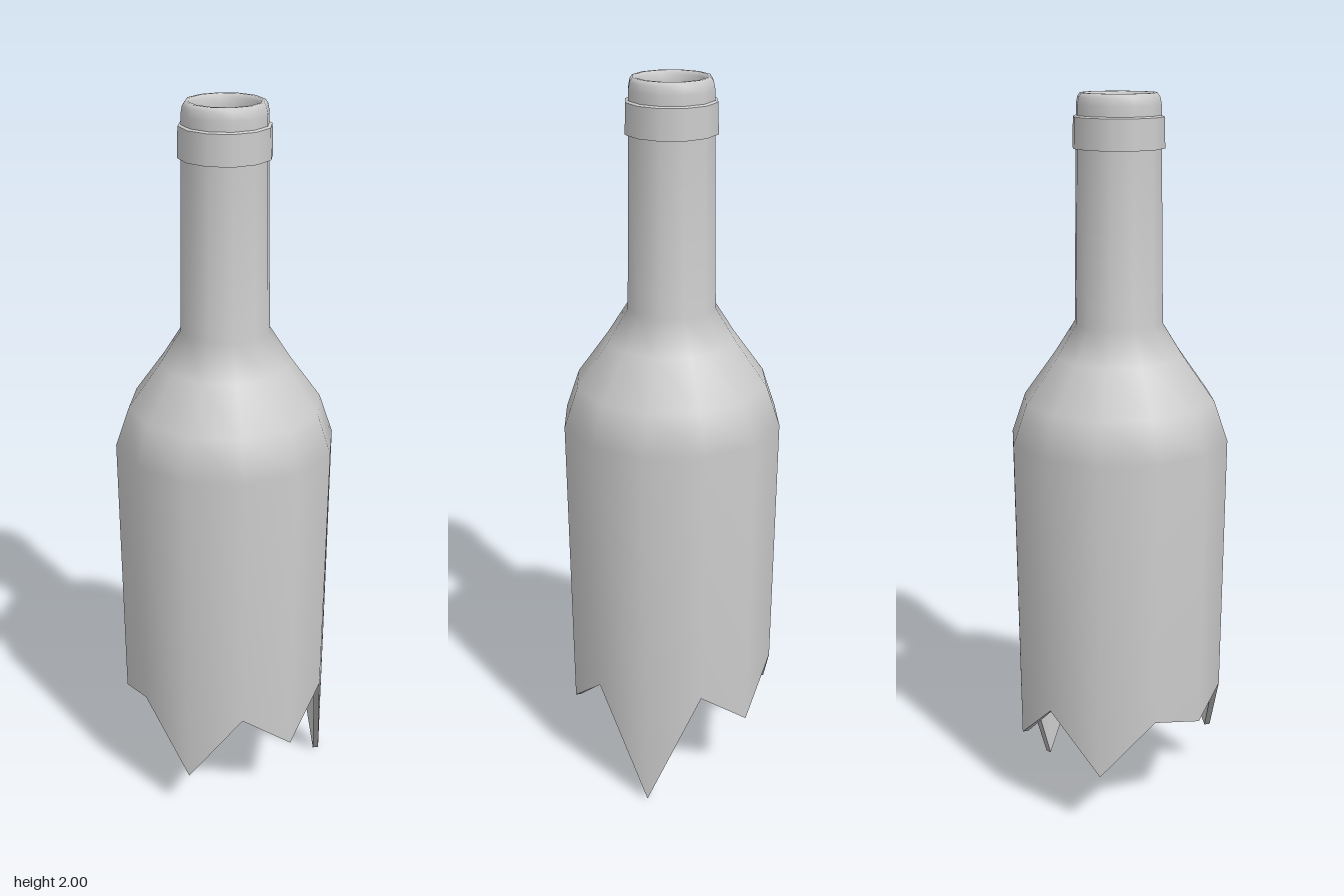
import * as THREE from 'three';

const SIDES = 12;
// Height of the broken edge at each corner, going round from the front
const BREAK = [0.34, 0, 0.34, 0.22, 0.35, 0.18, 0.34, 0.3, 0.35, 0.14, 0.34, 0.22];

export function createModel() {
  const group = new THREE.Group();
  const material = new THREE.MeshStandardMaterial({ color: 0xcccccc });

  // Turned part; points listed in 'jagged' follow the broken edge
  const turn = (name, profile, jagged = []) => {
    const points = profile.map(([r, y]) => new THREE.Vector2(r, y));
    const geometry = new THREE.LatheGeometry(points, SIDES, Math.PI / SIDES);
    const position = geometry.attributes.position;
    for (let i = 0; i <= SIDES; i++) {
      for (const j of jagged) position.setY(i * points.length + j, BREAK[i % SIDES]);
    }
    const mesh = new THREE.Mesh(geometry, material);
    mesh.name = name;
    group.add(mesh);
  };

  // Outer wall: body, shoulder and neck
  turn('bottleWall', [
    [0.294, 0.3], [0.302, 1.08], [0.264, 1.19], [0.178, 1.31], [0.121, 1.4], [0.114, 1.87],
  ], [0]);

  // Inner wall, closed in the neck
  turn('innerWall', [
    [0, 1.66], [0.06, 1.64], [0.09, 1.56], [0.1, 1.4], [0.158, 1.3],
    [0.244, 1.18], [0.282, 1.07], [0.277, 0.3],
  ], [7]);

  // Thickness of the broken edge
  turn('brokenEdge', [[0.277, 0.3], [0.294, 0.3]], [0, 1]);

  // Collar around the neck
  turn('collarUnderside', [[0.112, 1.86], [0.123, 1.86]]);
  turn('collar', [[0.123, 1.86], [0.121, 1.94]]);
  turn('collarTop', [[0.121, 1.94], [0.11, 1.945]]);

  // Rounded lip and the bore, ending in a shallow bowl
  turn('lip', [
    [0.113, 1.935], [0.113, 1.97], [0.109, 1.99], [0.102, 2], [0.094, 2],
    [0.088, 1.99], [0.086, 1.97], [0.084, 1.8], [0.07, 1.73], [0.04, 1.7], [0, 1.69],
  ]);

  return group;
}
